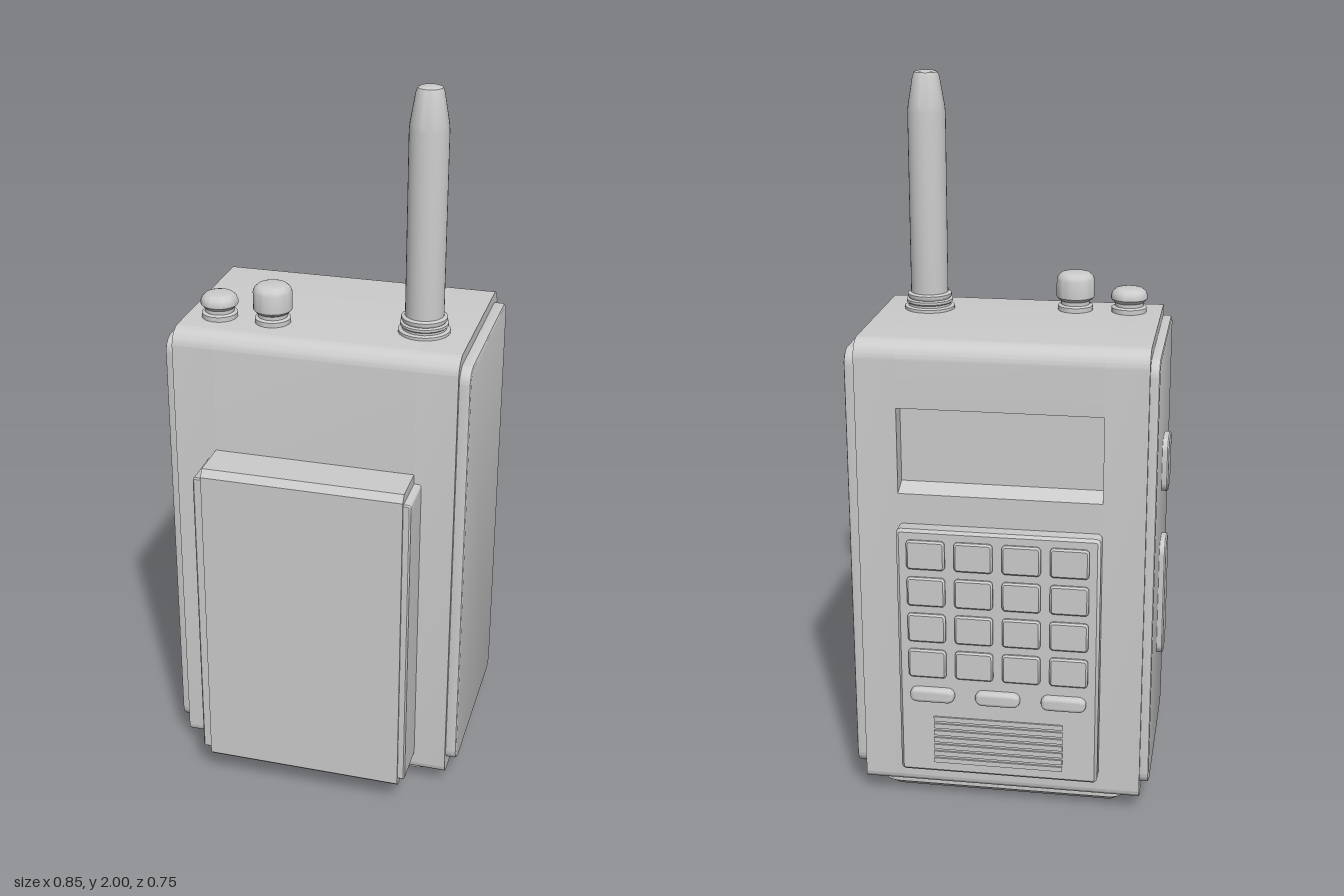
import * as THREE from 'three';
import { toCreasedNormals } from 'three/addons/utils/BufferGeometryUtils.js';

const material = new THREE.MeshStandardMaterial({ color: 0xcccccc });

function addMesh(parent, name, geometry, x = 0, y = 0, z = 0) {
  const mesh = new THREE.Mesh(toCreasedNormals(geometry, 0.6), material);
  mesh.name = name;
  mesh.position.set(x, y, z);
  parent.add(mesh);
  return mesh;
}

// Rectangle with separate top and bottom corner radii and an optional notch in its right edge
function roundedRect(x0, x1, y0, y1, rTop, rBottom = rTop, notch = []) {
  const s = new THREE.Shape();
  s.moveTo(x0 + rBottom, y0);
  s.lineTo(x1 - rBottom, y0);
  s.absarc(x1 - rBottom, y0 + rBottom, rBottom, -Math.PI / 2, 0);
  notch.forEach(([x, y]) => s.lineTo(x, y));
  s.lineTo(x1, y1 - rTop);
  s.absarc(x1 - rTop, y1 - rTop, rTop, 0, Math.PI / 2);
  s.lineTo(x0 + rTop, y1);
  s.absarc(x0 + rTop, y1 - rTop, rTop, Math.PI / 2, Math.PI);
  s.lineTo(x0, y0 + rBottom);
  s.absarc(x0 + rBottom, y0 + rBottom, rBottom, Math.PI, Math.PI * 1.5);
  return s;
}

// Bevelled rounded slab centred on the origin, facing along z
function slab(w, h, depth, radius, bevel, segments = 1, bevelDepth = bevel) {
  const shape = roundedRect(-w / 2 + bevel, w / 2 - bevel, -h / 2 + bevel, h / 2 - bevel, radius);
  return new THREE.ExtrudeGeometry(shape, {
    depth: depth - 2 * bevelDepth, bevelEnabled: true, bevelSize: bevel,
    bevelThickness: bevelDepth, bevelSegments: segments, curveSegments: 6,
  }).translate(0, 0, -depth / 2 + bevelDepth);
}

// Side profile (drawn as -z, y) swept from x0 to x1
function sweepX(shape, x0, x1) {
  return new THREE.ExtrudeGeometry(shape, { depth: x1 - x0, bevelEnabled: false, curveSegments: 8 })
    .rotateY(Math.PI / 2).translate(x0, 0, 0);
}

function lathe(points) {
  return new THREE.LatheGeometry(points.map(([r, y]) => new THREE.Vector2(r, y)), 32);
}

export function createModel() {
  const model = new THREE.Group();

  // Case: full sections at each end, a notched one across the display
  const profile = roundedRect(-0.245, 0.31, 0.045, 1.345, 0.05, 0.025);
  const notched = roundedRect(-0.245, 0.31, 0.045, 1.345, 0.05, 0.025,
    [[0.31, 0.925], [0.26, 0.945], [0.26, 1.165], [0.31, 1.165]]);
  const body = new THREE.Group();
  body.name = 'case';
  addMesh(body, 'caseRight', sweepX(profile, -0.385, -0.27));
  addMesh(body, 'caseMiddle', sweepX(notched, -0.27, 0.283));
  addMesh(body, 'caseLeft', sweepX(profile, 0.283, 0.395));
  model.add(body);

  // Side panels
  for (const [name, x] of [['rightSidePanel', -0.385], ['leftSidePanel', 0.4]]) {
    addMesh(model, name, slab(0.53, 1.237, 0.05, 0.035, 0.008, 2).rotateY(Math.PI / 2), x, 0.697, -0.032);
  }

  // Bevelled foot under the case
  addMesh(model, 'foot', slab(0.71, 0.5, 0.1, 0.015, 0.04, 1, 0.03).rotateX(-Math.PI / 2), 0.006, 0.05, -0.035);

  // Battery pack on the front, with narrower cheeks at its sides
  const pack = new THREE.Shape([[-0.375, 0.085], [-0.365, 0.075], [-0.235, 0.075],
    [-0.235, 1.005], [-0.36, 1.005], [-0.375, 0.985]].map(([x, y]) => new THREE.Vector2(x, y)));
  addMesh(model, 'batteryPack', sweepX(pack, -0.27, 0.285));
  addMesh(model, 'batteryCheeks', slab(0.6, 0.88, 0.138, 0.004, 0.004), 0.005, 0.538, 0.3);

  // Keypad plate on the back
  const keypad = new THREE.Group();
  keypad.name = 'keypad';
  model.add(keypad);
  addMesh(keypad, 'keypadPlate', slab(0.553, 0.73, 0.09, 0.006, 0.008), 0.006, 0.475, -0.31);

  // Four by four keys
  for (let row = 0; row < 4; row++) {
    for (let col = 0; col < 4; col++) {
      addMesh(keypad, 'key', slab(0.105, 0.084, 0.03, 0.006, 0.005),
        0.006 + (col - 1.5) * 0.13, 0.77 - row * 0.107, -0.35);
    }
  }

  // Three oval function buttons
  for (let i = -1; i <= 1; i++) {
    addMesh(keypad, 'functionButton', slab(0.124, 0.042, 0.05, 0.008, 0.012, 3), 0.006 + i * 0.182, 0.355, -0.35);
  }

  // Speaker grille bars
  for (let i = 0; i < 7; i++) {
    addMesh(keypad, 'grilleBar', new THREE.BoxGeometry(0.36, 0.014, 0.02), 0.006, 0.15 + i * 0.0215, -0.35);
  }

  // Buttons on the right side
  for (const [name, y, h] of [['upperSideButton', 0.957, 0.155], ['lowerSideButton', 0.557, 0.345]]) {
    addMesh(model, name, slab(0.117, h, 0.05, 0.03, 0.004).rotateY(Math.PI / 2), -0.403, y, -0.032);
  }

  // Antenna with ringed collar
  addMesh(model, 'antenna', lathe([
    [0, 1.34], [0.07, 1.34], [0.07, 1.353], [0.06, 1.356], [0.06, 1.362],
    [0.065, 1.366], [0.065, 1.373], [0.058, 1.376], [0.062, 1.382], [0.062, 1.389],
    [0.052, 1.393], [0.052, 1.89], [0.05, 1.91], [0.037, 1.985], [0.032, 1.997], [0.025, 2], [0, 2],
  ]), 0.265, 0, 0.07);

  // Control knobs
  const knob = (name, x, top, r) => addMesh(model, name, lathe([
    [0, 1.34], [0.049, 1.34], [0.049, 1.358], [0.04, 1.362], [0.04, 1.372],
    [r - 0.006, 1.376], [r, 1.383], [r, top - 0.02], [r - 0.004, top - 0.01],
    [r - 0.013, top - 0.002], [r - 0.022, top], [0, top],
  ]), x, 0, 0.11);
  knob('shortKnob', -0.294, 1.412, 0.051);
  knob('tallKnob', -0.143, 1.452, 0.053);

  return model;
}
